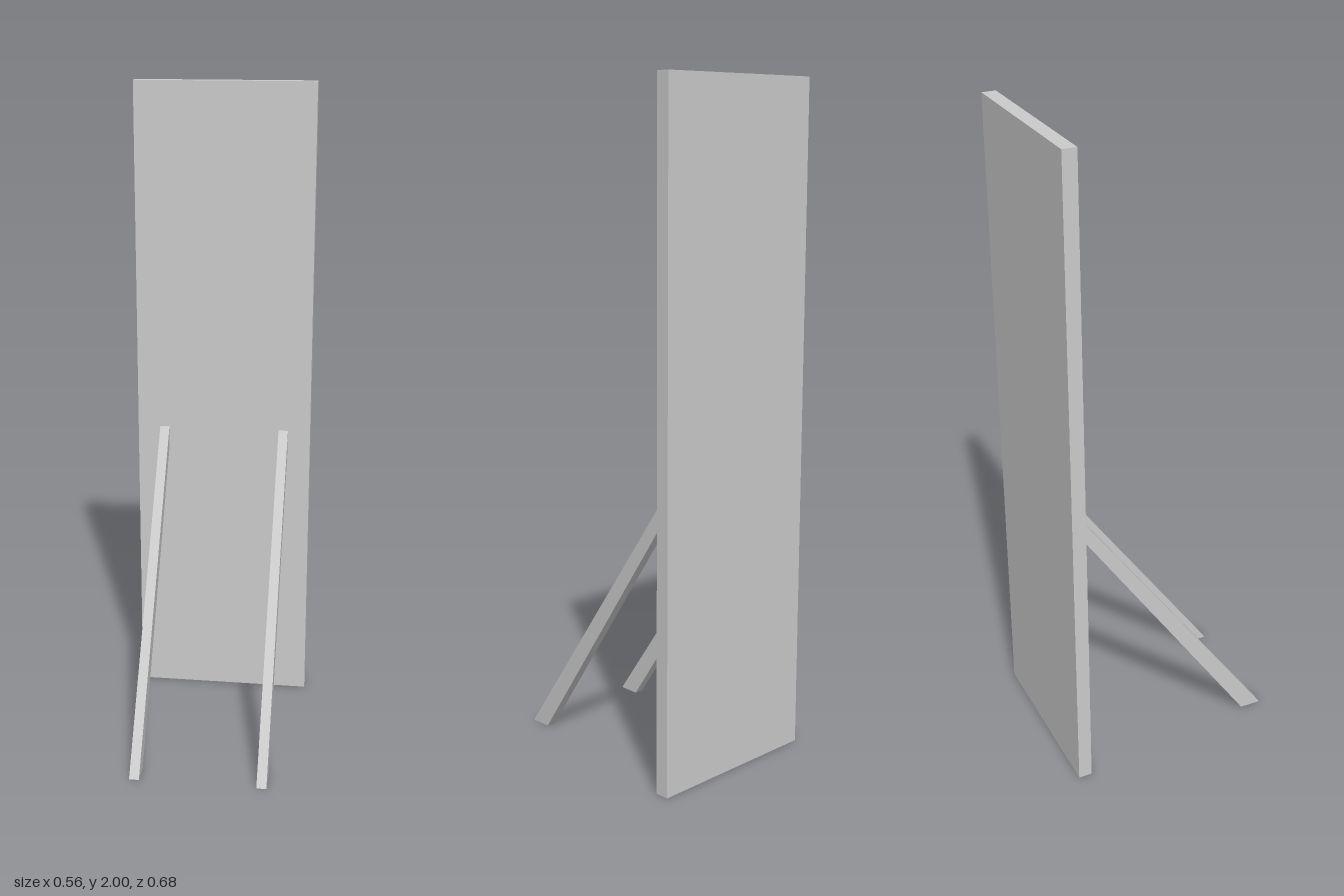
import * as THREE from 'three';

export function createModel() {
  const group = new THREE.Group();
  group.name = 'proppedPanel';
  const material = new THREE.MeshStandardMaterial({ color: 0xcccccc, flatShading: true });

  // Tall upright board
  const panel = new THREE.Mesh(new THREE.BoxGeometry(0.556, 2, 0.042), material);
  panel.name = 'panel';
  panel.position.set(0, 1, -0.32);
  group.add(panel);

  // Slanted strut side profile (z, y), cut flush with the floor and the board
  const profile = new THREE.Shape([
    [0.341, 0], [-0.299, 0.912], [-0.299, 0.849], [0.274, 0],
  ].map(([z, y]) => new THREE.Vector2(-z, y)));
  const width = 0.03;
  const strutGeometry = new THREE.ExtrudeGeometry(profile, { depth: width, bevelEnabled: false });
  strutGeometry.translate(0, 0, -width / 2);
  strutGeometry.rotateY(Math.PI / 2); // profile x becomes -z

  for (const [name, x] of [['leftStrut', 0.192], ['rightStrut', -0.192]]) {
    const strut = new THREE.Mesh(strutGeometry, material);
    strut.name = name;
    strut.position.x = x;
    group.add(strut);
  }
  return group;
}
